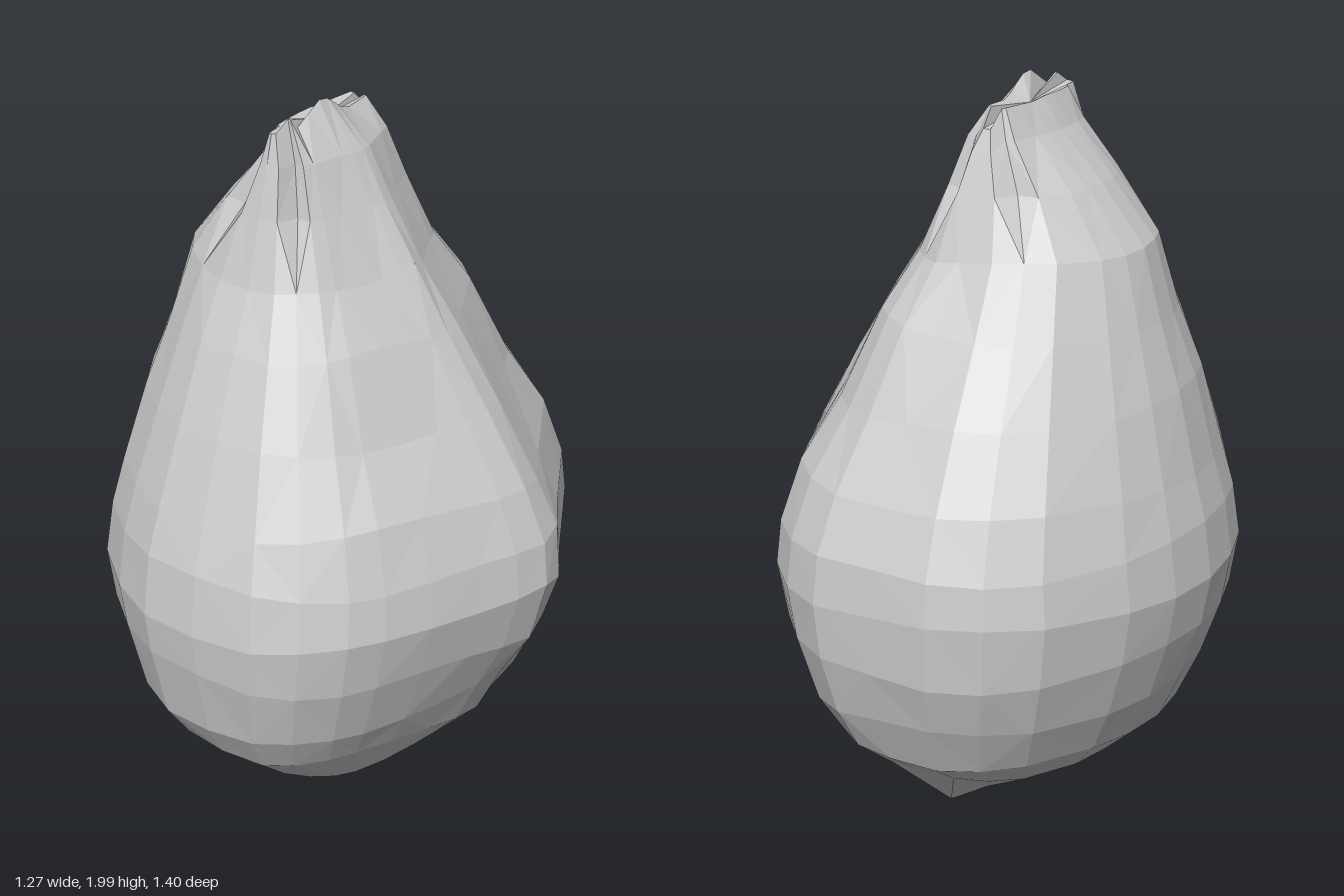
import * as THREE from 'three';

// Body levels: y, x min, x max, z min (back), z max (front)
const LEVELS = [
  [0.03, -0.16, 0.06, -0.29, 0.27],
  [0.17, -0.40, 0.34, -0.46, 0.455],
  [0.28, -0.495, 0.43, -0.59, 0.59],
  [0.40, -0.56, 0.505, -0.65, 0.65],
  [0.57, -0.615, 0.59, -0.69, 0.69],
  [0.72, -0.64, 0.635, -0.70, 0.70],
  [0.86, -0.62, 0.62, -0.685, 0.675],
  [1.00, -0.585, 0.56, -0.625, 0.63],
  [1.20, -0.525, 0.445, -0.52, 0.545],
  [1.40, -0.46, 0.33, -0.405, 0.455],
  [1.57, -0.40, 0.23, -0.30, 0.38],
  [1.73, -0.275, 0.14, -0.235, 0.325],
  [1.86, -0.145, 0.075, -0.195, 0.29],
  [1.94, -0.09, -0.01, -0.17, 0.27],
];

// Plan outline in unit extents: rounded on one side, a blunt ridge on the other
const OUTLINE = [
  [1, 0], [0.95, 0.14], [0.87, 0.29], [0.77, 0.49], [0.67, 0.67], [0.58, 0.79], [0.43, 0.91],
  [0.25, 0.99], [-0.03, 1], [-0.3, 0.97], [-0.53, 0.86], [-0.75, 0.69], [-0.9, 0.45],
  [-0.97, 0.24], [-1, 0], [-0.97, -0.24], [-0.89, -0.47], [-0.69, -0.78], [-0.5, -0.92],
  [-0.28, -1], [0, -1], [0.25, -1], [0.45, -0.91], [0.63, -0.75], [0.74, -0.55],
  [0.86, -0.33], [0.98, -0.13],
];

// Outline corners that are pinched into creases near the mouth
const CREASES = [6, 10, 18, 22];

// Ragged heights of the gathered mouth from back to front: z, y
const MOUTH = [[-0.19, 1.87], [-0.12, 1.94], [0, 1.935], [0.1, 2.0], [0.2, 1.94], [0.22, 1.97], [0.27, 1.94]];

function mouthHeight(z) {
  for (let i = 1; i < MOUTH.length; i++) {
    const [z0, y0] = MOUTH[i - 1], [z1, y1] = MOUTH[i];
    if (z <= z1) return THREE.MathUtils.lerp(y0, y1, THREE.MathUtils.clamp((z - z0) / (z1 - z0), 0, 1));
  }
  return 1.94;
}

const wobble = (a, b) => Math.sin(a * 12.9 + b * 78.2) * 0.6 + Math.sin(a * 5.3 - b * 3.7) * 0.4;

function bodyGeometry() {
  const n = OUTLINE.length, pos = [], index = [], last = LEVELS.length - 1;
  LEVELS.forEach(([y, x0, x1, z0, z1], j) => {
    const cx = -0.05 * THREE.MathUtils.smoothstep(y, 0.6, 1.9);
    const cz = (z0 + z1) / 2, hz = (z1 - z0) / 2;
    const round = 0.5 * (1 - THREE.MathUtils.smoothstep(y, 0.1, 0.5));
    OUTLINE.forEach(([u, v], i) => {
      // the underside loses the ridge and narrows to a diamond keel
      const r = j === 0 ? 1 / (Math.abs(u) + Math.abs(v)) : THREE.MathUtils.lerp(1, 1 / Math.hypot(u, v), round);
      const pinch = y > 1.65 && CREASES.includes(i) ? 0.86 : 1;
      const x = cx + (u > 0 ? x1 - cx : cx - x0) * u * r * pinch;
      const z = cz + hz * v * r * pinch;
      // uneven facet heights, a tilted keel and a ragged rim
      let h = y;
      if (j === 0) h = 0.015 - 0.012 * u + 0.012 * v;
      else if (j < 11) h += 0.018 * wobble(i, j);
      else if (j === last - 1) h = Math.min(h, mouthHeight(z) - 0.04);
      else if (j === last) h = u > 0 ? mouthHeight(z) : Math.min(1.94, mouthHeight(z));
      pos.push(x, h, z);
    });
  });
  for (let j = 0; j < last; j++) {
    for (let i = 0; i < n; i++) {
      const a = j * n + i, b = j * n + (i + 1) % n, c = a + n, d = b + n;
      if ((i + j) % 2) index.push(a, c, b, b, c, d);
      else index.push(a, c, d, a, d, b);
    }
  }
  // bottom cap and shallow seam across the mouth
  const bottom = pos.length / 3;
  pos.push(0.03, 0, -0.18, -0.05, 1.92, 0.05);
  for (let i = 0; i < n; i++) {
    const k = (i + 1) % n;
    index.push(bottom, i, k);
    index.push(bottom + 1, last * n + k, last * n + i);
  }
  const g = new THREE.BufferGeometry();
  g.setAttribute('position', new THREE.Float32BufferAttribute(pos, 3));
  g.setIndex(index);
  g.computeVertexNormals();
  return g;
}

export function createModel() {
  const group = new THREE.Group();
  group.name = 'gatheredPear';
  const material = new THREE.MeshStandardMaterial({ color: 0xcccccc, flatShading: true, side: THREE.DoubleSide });
  const body = new THREE.Mesh(bodyGeometry(), material);
  body.name = 'body';
  group.add(body);
  return group;
}
